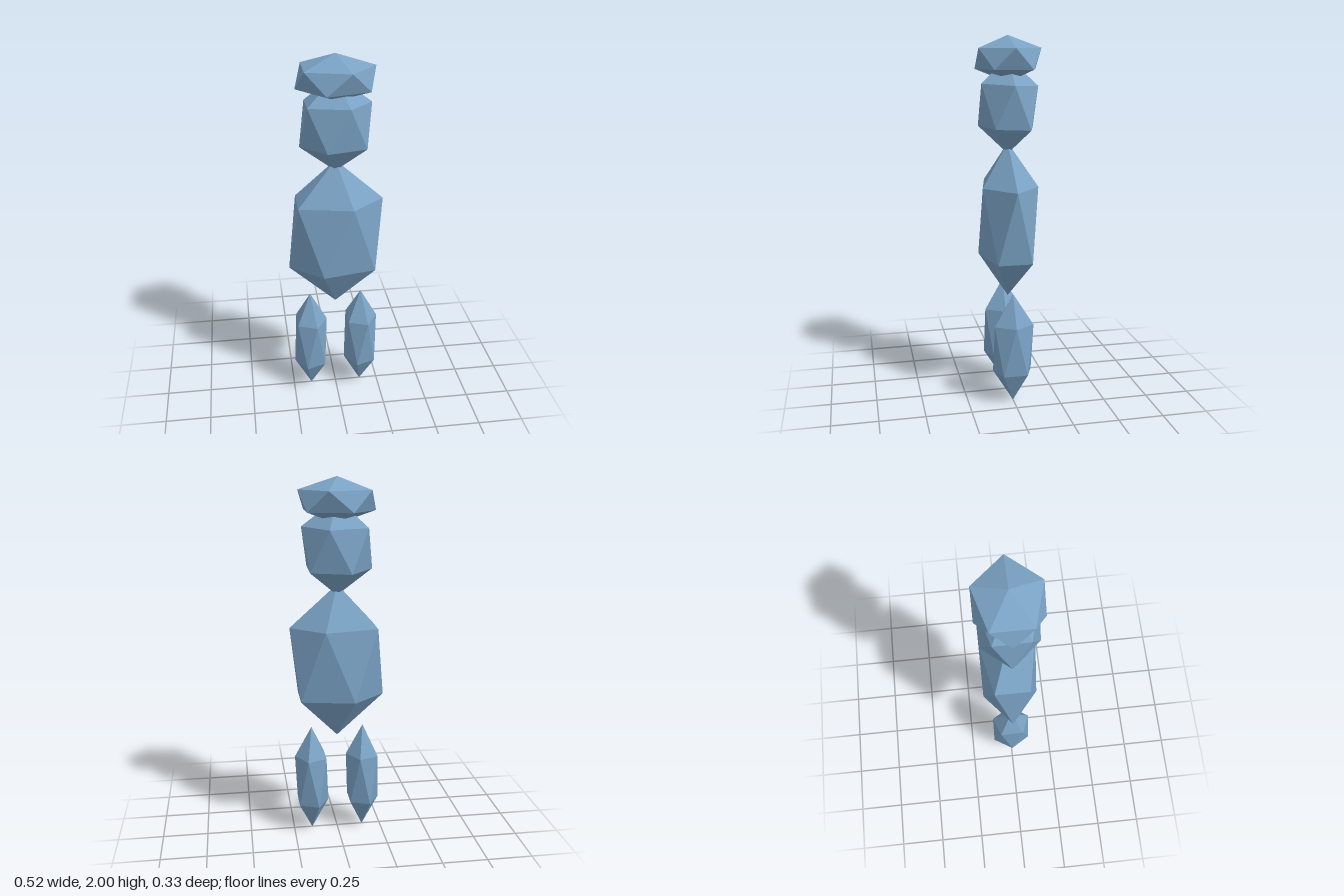
import * as THREE from 'three';

// Stretched icosahedron: two poles and two staggered five-sided rings.
// levels = heights of [top pole, upper ring, lower ring, bottom pole]
function gem(name, material, levels, rx, rz, x = 0, lean = 0) {
  const [top, upper, lower, bottom] = levels;
  const ring = (y, offset) => Array.from({ length: 5 }, (_, i) => {
    const a = ((i + offset) * Math.PI * 2) / 5;
    const z = -Math.sin(a) * rz;
    return [Math.cos(a) * rx, y + z * lean, z];
  });
  const u = ring(upper, 0);
  const l = ring(lower, 0.5);
  const tip = [0, top, 0];
  const base = [0, bottom, 0];
  const points = [];
  for (let i = 0; i < 5; i++) {
    const n = (i + 1) % 5;
    points.push(tip, u[i], u[n], u[i], l[i], u[n], l[i], l[n], u[n], base, l[n], l[i]);
  }
  const geometry = new THREE.BufferGeometry();
  geometry.setAttribute('position', new THREE.Float32BufferAttribute(points.flat(), 3));
  geometry.computeVertexNormals(); // unshared corners give flat facets
  const mesh = new THREE.Mesh(geometry, material);
  mesh.name = name;
  mesh.position.x = x;
  return mesh;
}

export function createModel() {
  const model = new THREE.Group();
  model.name = 'facetedFigure';
  const blue = new THREE.MeshStandardMaterial({ color: 0x7aa2c4 });
  blue.name = 'steelBlue';

  model.add(gem('hat', blue, [2.0, 1.934, 1.825, 1.757], 0.207, 0.175));
  // The head leans very slightly, front edge up
  model.add(gem('head', blue, [1.887, 1.746, 1.518, 1.377], 0.19, 0.16, 0, 0.045));
  model.add(gem('body', blue, [1.437, 1.204, 0.808, 0.574], 0.26, 0.16));

  // Legs, left and right
  for (const side of [1, -1]) {
    const name = side > 0 ? 'leftLeg' : 'rightLeg';
    model.add(gem(name, blue, [0.627, 0.455, 0.177, 0.005], 0.095, 0.1135, side * 0.146));
  }
  return model;
}
